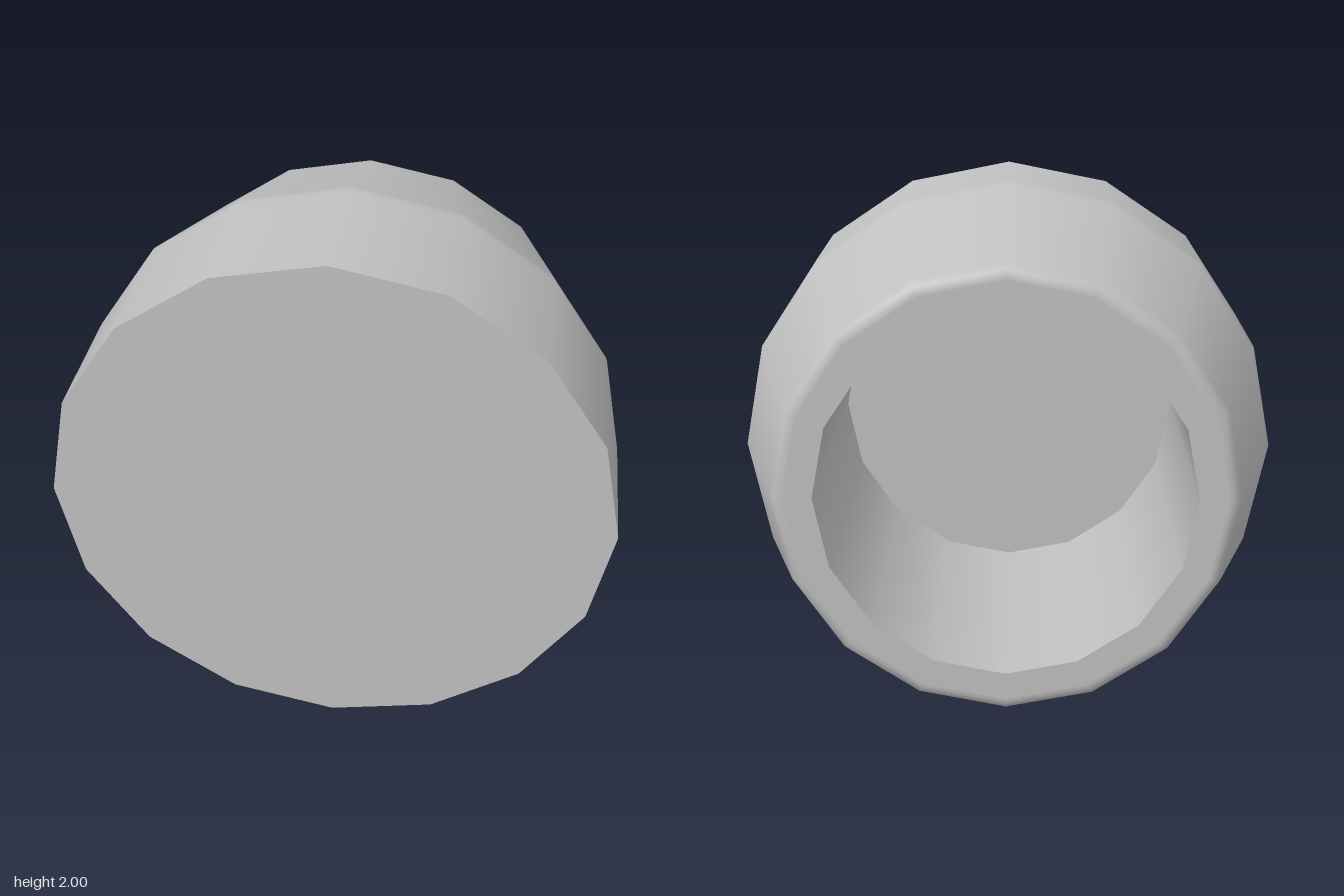
import * as THREE from 'three';

const SIDES = 16;
const FRONT = 0.56, BACK = -0.56, FLOOR = 0.55, BORE = 0.67;

export function createModel() {
  const group = new THREE.Group();
  group.name = 'hollowCap';
  const grey = new THREE.MeshStandardMaterial({ color: 0xc0c0c0 });
  grey.name = 'plain grey';

  const add = (name, geometry) => {
    const mesh = new THREE.Mesh(geometry, grey);
    mesh.name = name;
    mesh.position.y = 1;
    group.add(mesh);
  };
  // Revolves [radius, z] points around the z axis
  const revolve = (points) =>
    new THREE.LatheGeometry(points.map(([r, z]) => new THREE.Vector2(r, z)), SIDES).rotateX(Math.PI / 2);

  // Outer wall: flat rim, rounded back edge, tapered part, straight part.
  // Extra rings keep the smooth shading tight around each bend.
  add('outerWall', revolve([
    [BORE, BACK], [0.77, BACK], [0.785, BACK], [0.805, -0.55], [0.819, -0.53], [0.825, -0.51],
    [0.991, 0.01], [0.998, 0.035], [1, 0.055], [1, 0.075], [1, FRONT],
  ]));

  // Straight bore, facing inward
  add('bore', revolve([[BORE, FLOOR], [BORE, BACK]]));

  // Closed front and the floor of the bore behind it
  add('frontFace', new THREE.CircleGeometry(1, SIDES).translate(0, 0, FRONT));
  add('boreFloor', new THREE.CircleGeometry(BORE, SIDES).rotateY(Math.PI).translate(0, 0, FLOOR));

  return group;
}
